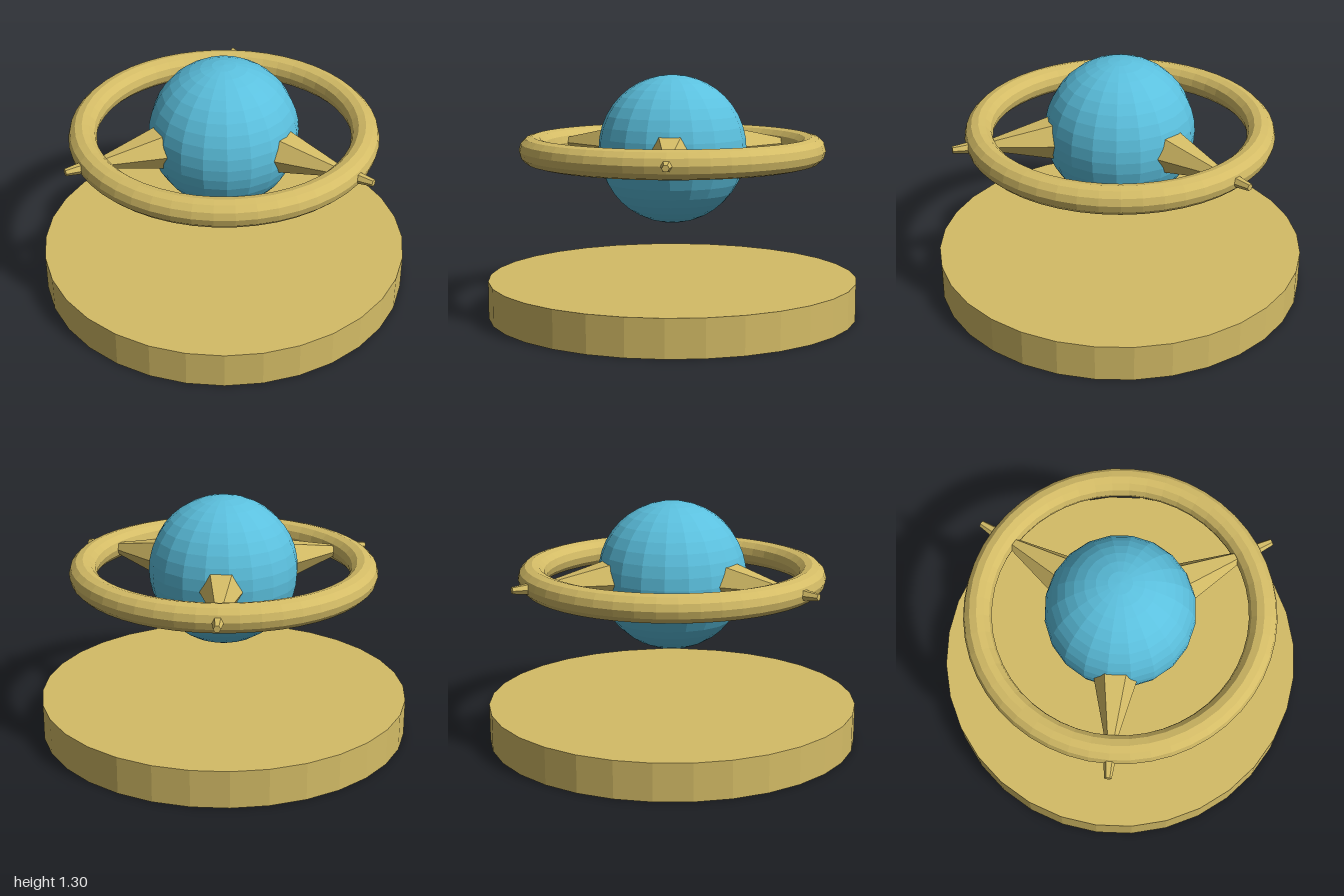
import * as THREE from 'three';

export function createModel() {
  const gold = new THREE.MeshStandardMaterial({ color: 0xd4bc66, flatShading: true });
  gold.name = 'gold';
  const blue = new THREE.MeshStandardMaterial({ color: 0x5bc0de, flatShading: true });
  blue.name = 'blue';

  const model = new THREE.Group();
  model.name = 'hoveringOrb';
  const add = (parent, name, geometry, material) => {
    const mesh = new THREE.Mesh(geometry, material);
    mesh.name = name;
    parent.add(mesh);
    return mesh;
  };

  // Round base plate
  add(model, 'base', new THREE.CylinderGeometry(1, 1, 0.2, 32), gold).position.y = 0.1;

  // Orb and its ring float above the base
  const floating = new THREE.Group();
  floating.name = 'floatingOrb';
  floating.position.y = 0.9;
  model.add(floating);
  add(floating, 'orb', new THREE.SphereGeometry(0.4, 20, 20), blue);
  add(floating, 'ring', new THREE.TorusGeometry(0.75, 0.075, 12, 48).rotateX(Math.PI / 2), gold);

  // Six-sided tapered bar lying along +x
  const taper = (x0, x1, r0, r1) =>
    new THREE.CylinderGeometry(r1, r0, x1 - x0, 6)
      .rotateZ(-Math.PI / 2)
      .translate((x0 + x1) / 2, 0, 0);

  // Three spokes join orb to ring, each with a stud outside the ring
  for (let i = 0; i < 3; i++) {
    const arm = new THREE.Group();
    arm.name = 'arm' + (i + 1);
    arm.rotation.y = (i * Math.PI * 2) / 3;
    add(arm, 'spoke', taper(0.3, 0.7, 0.131, 0.031), gold);
    add(arm, 'stud', taper(0.75, 0.9, 0.038, 0.019), gold);
    floating.add(arm);
  }

  return model;
}
